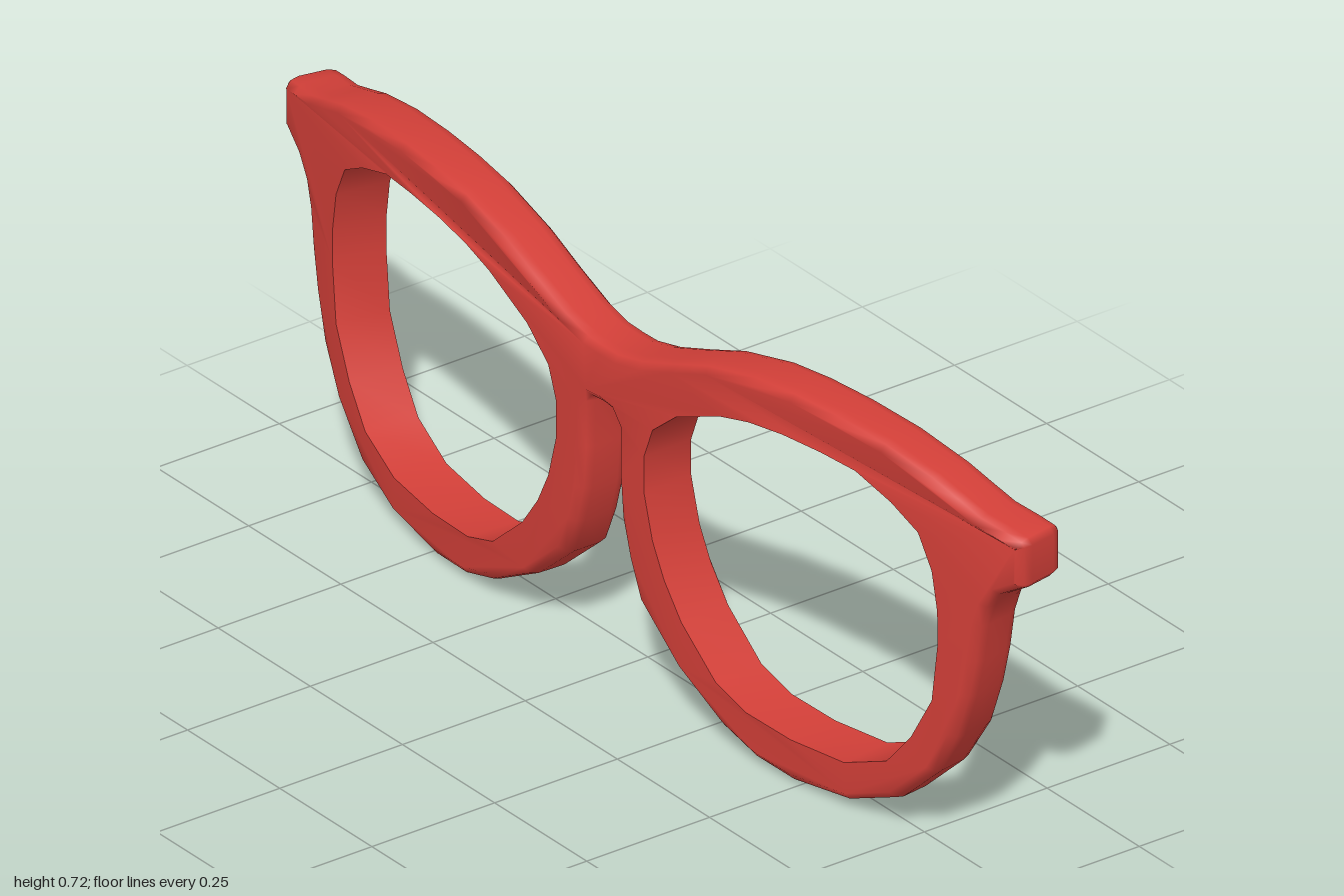
import * as THREE from 'three';

const V = (x, y) => new THREE.Vector2(x, y);

// Half of the frame silhouette, from the top of the bridge round to its underside
const HALF = [
  [0, 0.612], [0.04, 0.613], [0.1, 0.627], [0.18, 0.656], [0.27, 0.69], [0.39, 0.717],
  [0.48, 0.724], [0.58, 0.723], [0.69, 0.713], [0.797, 0.69], [0.85, 0.672], [0.9, 0.655],
  [0.95, 0.648], [0.985, 0.641], [0.994, 0.63], [0.994, 0.56], [0.985, 0.55], [0.94, 0.522],
  [0.915, 0.49], [0.902, 0.45], [0.892, 0.38], [0.877, 0.31], [0.85, 0.225], [0.8, 0.142],
  [0.716, 0.062], [0.61, 0.018], [0.48, 0.003], [0.39, 0.01], [0.31, 0.035], [0.2, 0.095],
  [0.1, 0.18], [0.07, 0.25], [0.05, 0.32], [0.043, 0.4], [0.043, 0.485], [0.03, 0.5], [0, 0.503],
].map(([x, y]) => V(x, y));

// One lens opening, clockwise
const LENS = [
  [0.46, 0.64], [0.55, 0.643], [0.63, 0.64], [0.71, 0.613], [0.77, 0.58], [0.8, 0.52],
  [0.812, 0.45], [0.813, 0.39], [0.8, 0.28], [0.754, 0.195], [0.7, 0.13], [0.604, 0.09],
  [0.48, 0.083], [0.374, 0.09], [0.3, 0.115], [0.214, 0.19], [0.17, 0.25], [0.14, 0.31],
  [0.118, 0.39], [0.118, 0.457], [0.14, 0.515], [0.2, 0.565], [0.31, 0.612], [0.38, 0.63],
].map(([x, y]) => V(x, y));

const mirror = pts => pts.map(p => V(-p.x, p.y)).reverse();

// Wrap a flat point around the face: the frame curves back towards the temples
function bend(x, y, z) {
  return [x + 0.2 * x * z, y, 0.05 - 0.11 * x * x + z];
}

// Move a counter-clockwise contour inwards
function inset(pts, d) {
  return pts.map((p, i) => {
    const a = pts[(i + pts.length - 1) % pts.length], b = pts[(i + 1) % pts.length];
    const t = b.clone().sub(a).normalize();
    return V(p.x - t.y * d, p.y + t.x * d);
  });
}

// Quads between consecutive rings of n vertices, listed back to front
function wall(index, n, rings) {
  for (let r = 0; r < rings - 1; r++)
    for (let i = 0; i < n; i++) {
      const j = (i + 1) % n, a = r * n + i, b = r * n + j;
      index.push(a, b, b + n, a, b + n, a + n);
    }
}

function build(position, index) {
  const g = new THREE.BufferGeometry();
  g.setAttribute('position', new THREE.Float32BufferAttribute(position, 3));
  g.setIndex(index);
  g.computeVertexNormals();
  return g;
}

// Rounded outer rim together with the front and back faces
function frameGeometry(outline, holes) {
  const position = [], index = [], n = outline.length;
  const add = (pts, z) => pts.forEach(p => position.push(...bend(p.x, p.y, z)));
  const layers = [[0.016, -0.05], [0.004, -0.04], [0, -0.025], [0, 0.025], [0.004, 0.04], [0.016, 0.05]];
  layers.forEach(([d, z]) => add(inset(outline, d), z));
  wall(index, n, layers.length);
  const faces = THREE.ShapeUtils.triangulateShape(inset(outline, 0.016), holes);
  for (const side of [-1, 1]) {
    const rim = side < 0 ? 0 : (layers.length - 1) * n;
    const inner = position.length / 3;
    holes.forEach(h => add(h, side * 0.049));
    const id = k => (k < n ? rim + k : inner + k - n);
    for (const [a, b, c] of faces)
      index.push(id(a), id(side > 0 ? b : c), id(side > 0 ? c : b));
  }
  return build(position, index);
}

// Inner wall of a lens opening
function openingGeometry(hole) {
  const position = [], index = [];
  for (const z of [-0.049, 0.049])
    hole.forEach(p => position.push(...bend(p.x, p.y, z)));
  wall(index, hole.length, 2);
  return build(position, index);
}

export function createModel() {
  const group = new THREE.Group();
  group.name = 'glassesFrame';
  const red = new THREE.MeshStandardMaterial({ color: 0xd23f38 });
  red.name = 'red';

  const outline = [...HALF, ...mirror(HALF).slice(1, -1)].reverse();
  const holes = [LENS, mirror(LENS)];

  const frame = new THREE.Mesh(frameGeometry(outline, holes), red);
  frame.name = 'frame';
  group.add(frame);

  holes.forEach((hole, i) => {
    const opening = new THREE.Mesh(openingGeometry(hole), red);
    opening.name = i === 0 ? 'leftLensOpening' : 'rightLensOpening';
    group.add(opening);
  });
  return group;
}
